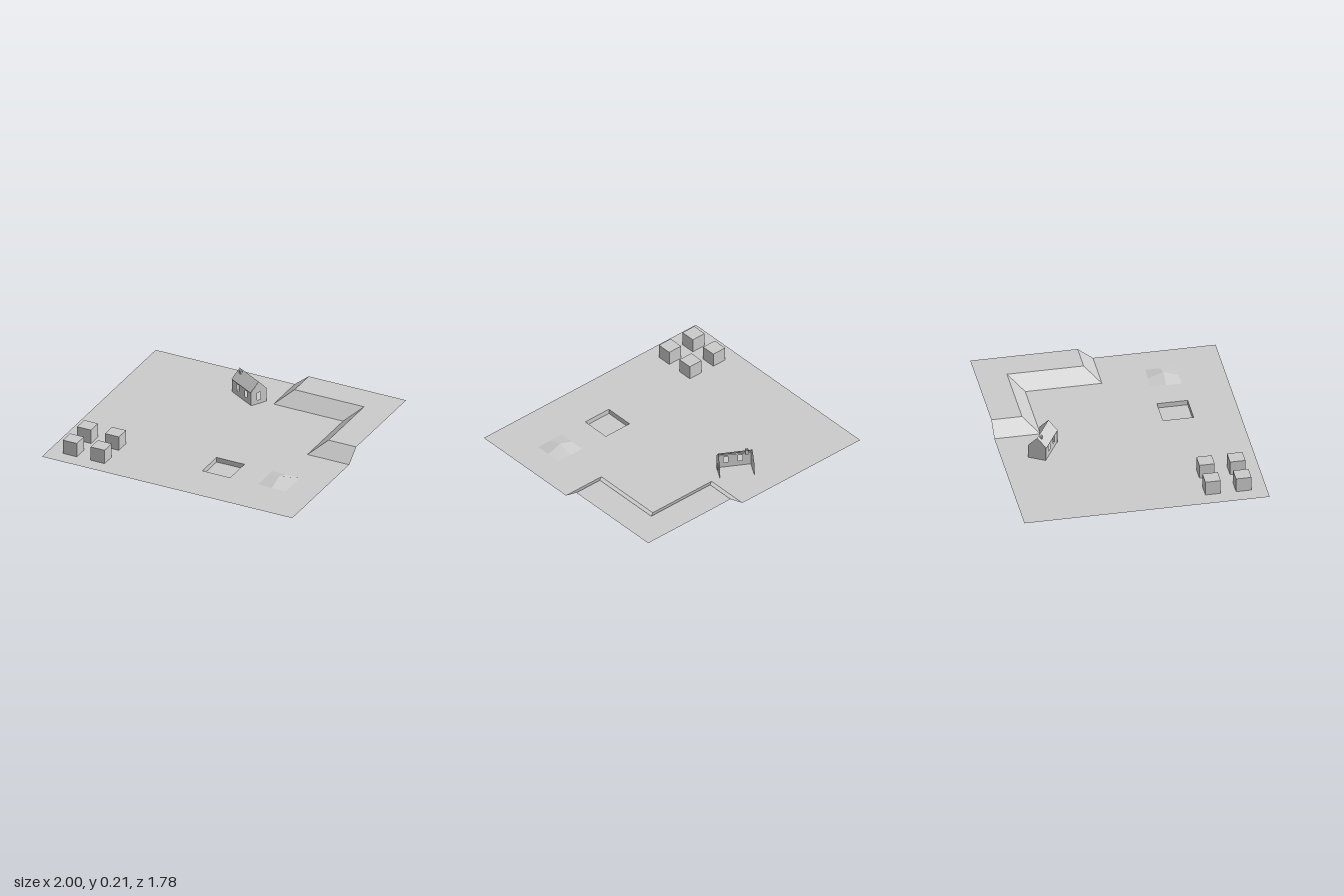
import * as THREE from 'three';

const U = 1 / 9;          // terrain grid cell
const GROUND = 0.037;
const PLATEAU = 0.127;
const material = new THREE.MeshStandardMaterial({ color: 0xcccccc, side: THREE.DoubleSide });

function addMesh(parent, geometry, name) {
  const mesh = new THREE.Mesh(geometry, material);
  mesh.name = name;
  parent.add(mesh);
  return mesh;
}

// Faceted surface from four-cornered faces, one normal per face
function quadGeometry(quads) {
  const positions = [], normals = [];
  for (const q of quads) {
    const [a, b, c, d] = q.map((p) => new THREE.Vector3(...p));
    const n = c.clone().sub(a).cross(d.clone().sub(b)).normalize();
    for (const p of [a, b, c, a, c, d]) {
      positions.push(p.x, p.y, p.z);
      normals.push(n.x, n.y, n.z);
    }
  }
  const g = new THREE.BufferGeometry();
  g.setAttribute('position', new THREE.Float32BufferAttribute(positions, 3));
  g.setAttribute('normal', new THREE.Float32BufferAttribute(normals, 3));
  return g;
}

// Corners of a rectangle in grid cells, counter-clockwise seen from above
const rect = (x, z, w, d) => [[x, z], [x, z + d], [x + w, z + d], [x + w, z]];
const toPoints = (cells) => cells.map(([x, z]) => new THREE.Vector2(x * U, -z * U));

// Level surface with optional rectangular openings
function flatGeometry(outline, y, holes = []) {
  const shape = new THREE.Shape(toPoints(outline));
  shape.holes = holes.map((h) => new THREE.Path(toPoints(h)));
  return new THREE.ShapeGeometry(shape).rotateX(-Math.PI / 2).translate(0, y, 0);
}

// Ground cells pushed straight up or down, open underneath
function pushedGeometry(cells, y) {
  const at = ([x, z], h) => [x * U, h, z * U];
  const quads = cells.map((p, i) => {
    const q = cells[(i + 1) % 4];
    return [at(p, GROUND), at(q, GROUND), at(q, y), at(p, y)];
  });
  quads.push(cells.map((p) => at(p, y)));
  return quadGeometry(quads);
}

function rectHole(x, y, w, h) {
  return new THREE.Path([[x, y], [x, y + h], [x + w, y + h], [x + w, y]]
    .map((p) => new THREE.Vector2(...p)));
}

function createHouse() {
  const house = new THREE.Group();
  house.name = 'house';
  const L = 0.124, D = 0.07, EAVE = 0.105, RIDGE = 0.176;

  // Front wall with two windows
  const front = new THREE.Shape([[-L, 0], [L, 0], [L, EAVE], [-L, EAVE]]
    .map((p) => new THREE.Vector2(...p)));
  for (const x of [-0.065, 0.04]) front.holes.push(rectHole(x, 0.04, 0.032, 0.05));
  addMesh(house, new THREE.ShapeGeometry(front), 'frontWall').position.z = D - 0.006;

  // Gable ends
  const W = D - 0.003;
  for (const side of [1, -1]) {
    const gable = new THREE.Shape([[-W, 0], [W, 0], [W, EAVE], [0, RIDGE], [-W, EAVE]]
      .map((p) => new THREE.Vector2(...p)));
    if (side > 0) gable.holes.push(rectHole(-0.016, 0.03, 0.032, 0.06));
    const mesh = addMesh(house, new THREE.ShapeGeometry(gable), side > 0 ? 'leftGable' : 'rightGable');
    mesh.rotation.y = side * Math.PI / 2;
    mesh.position.x = side * L;
  }

  // Front roof slope
  addMesh(house, quadGeometry([[
    [-L, EAVE, D], [L, EAVE, D], [L, RIDGE, 0], [-L, RIDGE, 0],
  ]]), 'roof');

  // Chimney
  addMesh(house, new THREE.BoxGeometry(0.022, 0.045, 0.016), 'chimney')
    .position.set(-0.085, 0.152, 0.017);

  house.position.set(-0.094, GROUND, -0.578);
  house.rotation.y = -Math.PI / 6;
  return house;
}

export function createModel() {
  const model = new THREE.Group();
  model.name = 'terrainScene';

  const toe = [[1, -8], [1, -5], [6, -5], [6, 0], [9, 0]];
  const crest = [[2, -8], [2, -6], [7, -6], [7, -1], [9, -1]];
  const blocks = [];
  for (const x of [-8, -6]) for (const z of [4, 6]) blocks.push(rect(x, z, 1, 1));
  const pit = rect(1, 3, 2, 2);
  const hill = rect(5, 3, 2, 2);

  // Ground with openings below the raised and sunken parts
  addMesh(model, flatGeometry([[-9, -8], [-9, 8], [9, 8], ...[...toe].reverse()],
    GROUND, [...blocks, pit, hill]), 'ground');

  // Plateau and its sloping edge
  addMesh(model, flatGeometry([...crest, [9, -8]], PLATEAU), 'plateau');
  const low = ([x, z]) => [x * U, GROUND, z * U];
  const high = ([x, z]) => [x * U, PLATEAU, z * U];
  addMesh(model, quadGeometry(toe.slice(1).map((p, i) =>
    [low(toe[i]), low(p), high(crest[i + 1]), high(crest[i])])), 'plateauSlope');

  // Cubes and pit
  blocks.forEach((b, i) => addMesh(model, pushedGeometry(b, 0.145), `block${i + 1}`));
  addMesh(model, pushedGeometry(pit, 0), 'pit');

  // Hill: four faces meeting at one raised point
  const peak = [6 * U, 0.076, 4 * U];
  addMesh(model, quadGeometry(hill.map((corner, i) => {
    const mid = (a, b) => low([(a[0] + b[0]) / 2, (a[1] + b[1]) / 2]);
    return [low(corner), mid(corner, hill[(i + 1) % 4]), peak, mid(corner, hill[(i + 3) % 4])];
  })), 'hill');

  model.add(createHouse());
  return model;
}
